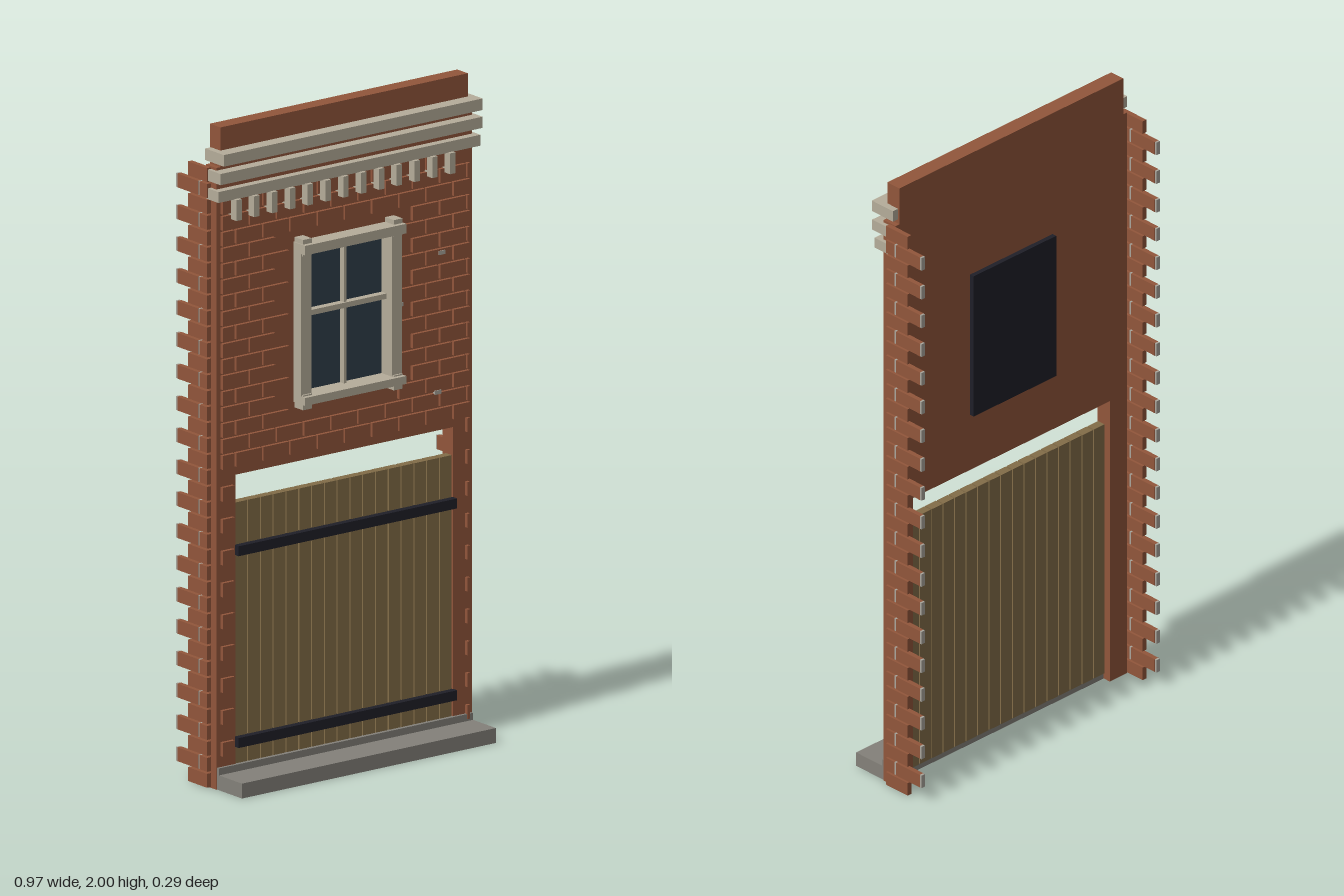
import * as THREE from 'three';

const material = (name, color) => {
  const m = new THREE.MeshStandardMaterial({ color });
  m.name = name;
  return m;
};

export function createModel() {
  const brick = material('brick', 0x92563b);
  const cream = material('cream stone', 0xb5ad9a);
  const stone = material('grey stone', 0x84817a);
  const mortar = material('mortar', 0xaaa69c);
  const wood = material('wood', 0x836d48);
  const darkWood = material('dark wood', 0x6c5938);
  const black = material('black iron', 0x1f1f28);
  const glass = material('glass', 0x2f3e4a);

  const root = new THREE.Group();
  root.name = 'facade';
  const group = (name) => {
    const g = new THREE.Group();
    g.name = name;
    root.add(g);
    return g;
  };
  // box given by its lower and upper limits on each axis
  const box = (parent, name, mat, x0, x1, y0, y1, z0, z1) => {
    const mesh = new THREE.Mesh(new THREE.BoxGeometry(x1 - x0, y1 - y0, z1 - z0), mat);
    mesh.position.set((x0 + x1) / 2, (y0 + y1) / 2, (z0 + z1) / 2);
    mesh.name = name;
    parent.add(mesh);
  };

  // wall with a gateway notch and a window hole
  const outline = [[-0.47, 0], [-0.4, 0], [-0.4, 0.94], [0.4, 0.94], [0.4, 0], [0.47, 0], [0.47, 1.88], [-0.47, 1.88]];
  const shape = new THREE.Shape(outline.map(([x, y]) => new THREE.Vector2(x, y)));
  const hole = [[-0.16, 1.13], [-0.16, 1.59], [0.16, 1.59], [0.16, 1.13]];
  shape.holes.push(new THREE.Path(hole.map(([x, y]) => new THREE.Vector2(x, y))));
  const wall = new THREE.Mesh(new THREE.ExtrudeGeometry(shape, { depth: 0.05, bevelEnabled: false }), brick);
  wall.position.z = -0.025;
  wall.name = 'wall';
  root.add(wall);
  box(root, 'parapet', brick, -0.455, 0.455, 1.88, 2, -0.025, 0.025);

  // running bond of raised bricks, left out around the openings
  const rowStep = 0.0482, rowHeight = 0.042, rowBase = 0.003;
  const bricks = group('frontBricks');
  for (let row = 1; row < 37; row++) {
    const y0 = rowBase + row * rowStep, y1 = y0 + rowHeight;
    const start = row % 2 ? -0.455 : -0.505;
    for (let i = 0; i < 10; i++) {
      const x0 = Math.max(start + i * 0.1, -0.455);
      const x1 = Math.min(start + i * 0.1 + 0.094, 0.455);
      const inGateway = y0 < 0.94 && x1 > -0.4 && x0 < 0.4;
      const inWindow = y1 > 1.1 && y0 < 1.62 && x1 > -0.19 && x0 < 0.19;
      if (!inGateway && !inWindow) box(bricks, 'brick', brick, x0, x1, y0, y1, 0.02, 0.036);
    }
  }
  [[0.35, 1.48], [0.335, 1.06], [0.195, 1.35]].forEach(([x, y]) =>
    box(bricks, 'mortarPatch', mortar, x - 0.012, x + 0.012, y - 0.006, y + 0.006, 0.03, 0.039));

  // toothed brick returns running back from both sides
  for (const side of [-1, 1]) {
    const returns = group(side > 0 ? 'leftReturn' : 'rightReturn');
    const sideBox = (name, mat, inner, outer, y, z0, z1) =>
      box(returns, name, mat, Math.min(side * inner, side * outer), Math.max(side * inner, side * outer),
        y, y + rowHeight, z0, z1);
    for (let row = 0; row < 39; row++) {
      const y = rowBase + row * rowStep;
      if (row % 2 === 0) {
        sideBox('brick', brick, 0.47, 0.485, y, -0.09, 0);
      } else {
        sideBox('brick', brick, 0.47, 0.485, y, -0.035, 0);
        sideBox('brick', brick, 0.47, 0.485, y, -0.14, -0.042);
        sideBox('joint', mortar, 0.471, 0.484, y, -0.042, -0.035);
        sideBox('joint', mortar, 0.471, 0.484, y, -0.147, -0.14);
      }
    }
  }

  // cornice bands and dentils
  const cornice = group('cornice');
  box(cornice, 'topBand', cream, -0.476, 0.476, 1.895, 1.93, -0.02, 0.068);
  box(cornice, 'middleBand', cream, -0.482, 0.482, 1.838, 1.872, -0.005, 0.06);
  box(cornice, 'lowerBand', cream, -0.482, 0.482, 1.782, 1.815, -0.005, 0.05);
  for (let i = 0; i < 13; i++) {
    const x = -0.415 + i * 0.0655;
    box(cornice, 'dentil', cream, x - 0.01, x + 0.01, 1.72, 1.783, 0.02, 0.062);
  }

  // sash window
  const win = group('window');
  box(win, 'glass', glass, -0.16, 0.16, 1.13, 1.59, 0.002, 0.012);
  box(win, 'backPanel', black, -0.168, 0.168, 1.125, 1.595, -0.04, -0.024);
  for (const s of [-1, 1]) {
    const x = s * 0.167;
    box(win, 'stile', cream, x - 0.019, x + 0.019, 1.13, 1.59, 0.01, 0.06);
    box(win, 'topBlock', cream, x - 0.016, x + 0.016, 1.57, 1.62, 0.02, 0.066);
    box(win, 'bottomBlock', cream, x - 0.016, x + 0.016, 1.105, 1.15, 0.02, 0.066);
  }
  box(win, 'lintel', cream, -0.186, 0.186, 1.577, 1.606, 0.01, 0.08);
  box(win, 'sill', cream, -0.186, 0.186, 1.122, 1.146, 0.01, 0.08);
  box(win, 'transom', cream, -0.15, 0.15, 1.376, 1.392, 0.01, 0.036);
  box(win, 'mullion', cream, -0.005, 0.005, 1.146, 1.577, 0.01, 0.03);

  // plank gate with iron straps
  const gate = group('gate');
  const count = 17, pitch = 0.8 / count;
  for (let i = 0; i < count; i++) {
    const x = -0.4 + i * pitch;
    box(gate, 'plank', wood, x + 0.002, x + pitch - 0.002, 0.02, 0.855, -0.005, 0.022);
  }
  box(gate, 'backing', darkWood, -0.399, 0.399, 0.022, 0.852, 0.004, 0.012);
  for (const y of [0.118, 0.698]) box(gate, 'strap', black, -0.402, 0.402, y, y + 0.03, 0.015, 0.043);

  // step and threshold
  box(root, 'step', stone, -0.467, 0.467, 0, 0.045, 0, 0.142);
  box(root, 'threshold', stone, -0.467, 0.467, 0.04, 0.066, 0, 0.034);

  return root;
}
